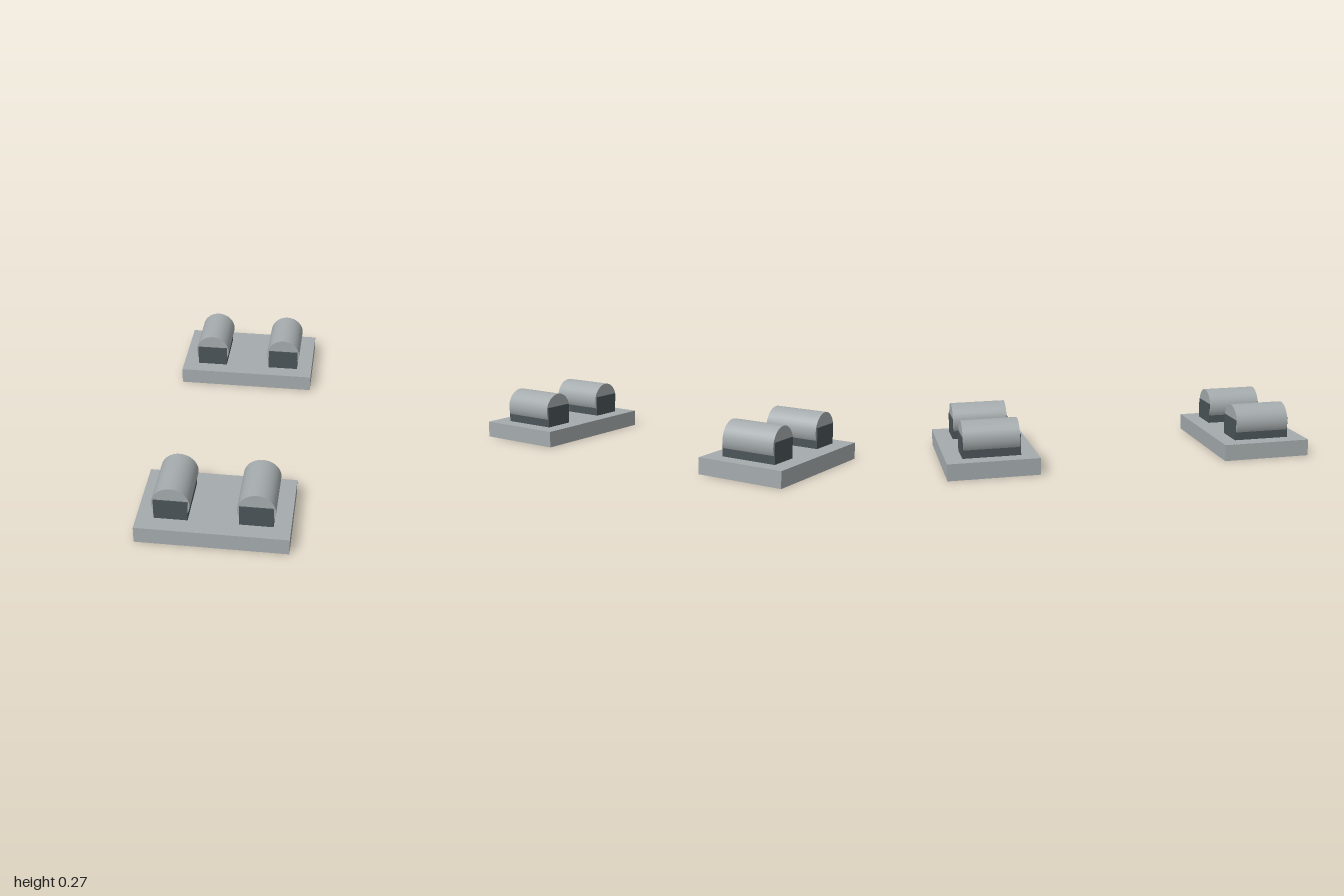
import * as THREE from 'three';

export function createModel() {
  const model = new THREE.Group();
  model.name = 'mountingBlocks';

  const paleGrey = new THREE.MeshStandardMaterial({ color: 0xa5abad });
  paleGrey.name = 'paleGrey';
  const darkGrey = new THREE.MeshStandardMaterial({ color: 0x4b5458 });
  darkGrey.name = 'darkGrey';

  const plateGeometry = new THREE.BoxGeometry(0.782, 0.09, 0.488);
  const cradleGeometry = new THREE.BoxGeometry(0.174, 0.113, 0.31);
  const rollerGeometry = new THREE.CylinderGeometry(0.0975, 0.0975, 0.3, 32).rotateX(Math.PI / 2);

  function addPart(parent, name, geometry, material, x, y, z) {
    const mesh = new THREE.Mesh(geometry, material);
    mesh.name = name;
    mesh.position.set(x, y, z);
    parent.add(mesh);
  }

  // One plate at each end, carrying two rollers in dark cradles
  for (const end of [1, -1]) {
    const unit = new THREE.Group();
    unit.name = end > 0 ? 'frontUnit' : 'backUnit';
    addPart(unit, 'basePlate', plateGeometry, paleGrey, 0, 0.045, end * 0.756);
    for (const side of [1, -1]) {
      const prefix = side > 0 ? 'left' : 'right';
      addPart(unit, prefix + 'Cradle', cradleGeometry, darkGrey, side * 0.216, 0.1465, end * 0.755);
      addPart(unit, prefix + 'Roller', rollerGeometry, paleGrey, side * 0.216, 0.177, end * 0.755);
    }
    model.add(unit);
  }

  return model;
}
